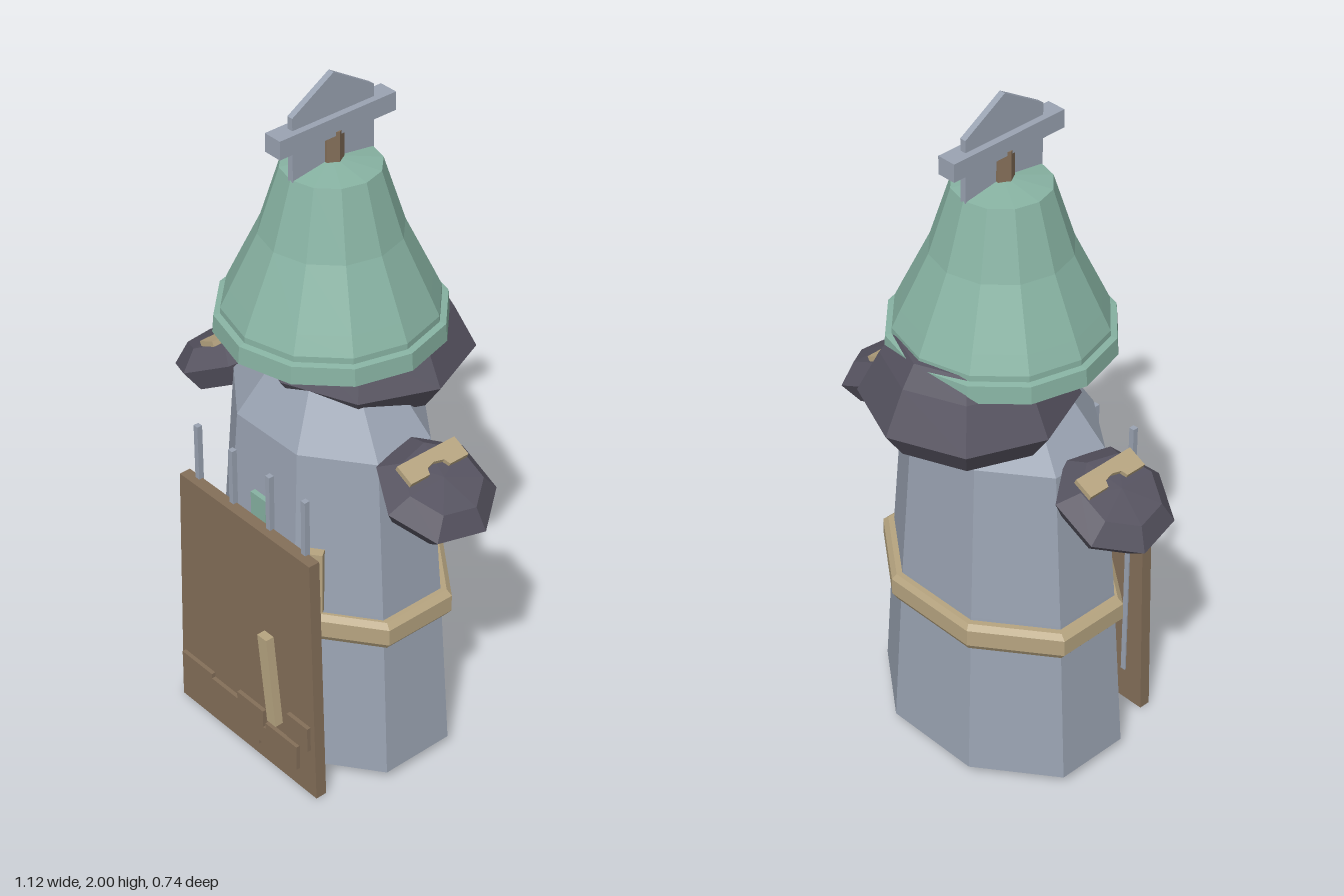
import * as THREE from 'three';

const mat = (name, color) => {
  const m = new THREE.MeshStandardMaterial({ color, flatShading: true });
  m.name = name;
  return m;
};

export function createModel() {
  const root = new THREE.Group();
  root.name = 'gateFigure';
  const stone = mat('blue grey stone', 0x9aa3b2);
  const dark = mat('dark slate', 0x565360);
  const green = mat('pale green', 0x87b2a2);
  const wood = mat('brown wood', 0x846f59);
  const tan = mat('tan', 0xb6a480);

  const add = (name, geo, material, x = 0, y = 0, z = 0) => {
    const m = new THREE.Mesh(geo, material);
    m.name = name;
    m.position.set(x, y, z);
    root.add(m);
    return m;
  };
  // faceted solid of revolution, profile from bottom to top
  const turned = (pts, sides, phi = 0) =>
    new THREE.LatheGeometry(pts.map(p => new THREE.Vector2(...p)), sides, phi);
  const box = (w, h, d) => new THREE.BoxGeometry(w, h, d);
  // flat outline extruded towards +z
  const slab = (pts, depth) => new THREE.ExtrudeGeometry(
    new THREE.Shape(pts.map(p => new THREE.Vector2(...p))), { depth, bevelEnabled: false });

  // oval octagonal body and the belt around it
  const oct = pts => turned(pts, 8, Math.PI / 8).scale(1, 1, 0.75);
  add('body', oct([[0, 0.03], [0.39, 0.03], [0.354, 0.55], [0.314, 1.02], [0.2, 1.16], [0, 1.17]]), stone, 0, 0, 0.04);
  add('belt', oct([[0.34, 0.455], [0.37, 0.455], [0.387, 0.475], [0.387, 0.525], [0.37, 0.54], [0.33, 0.54]]),
    tan, 0, 0, 0.035);

  // rounded collar under the hat
  add('collar', turned([[0, 1.08], [0.235, 1.08], [0.29, 1.16], [0.23, 1.28], [0.19, 1.34], [0, 1.35]], 8),
    dark, 0, 0, -0.08);

  // bell shaped hat and brim
  add('hat', turned([[0, 1.3], [0.29, 1.3], [0.288, 1.35], [0.265, 1.4], [0.19, 1.56], [0.132, 1.745], [0, 1.765]], 12),
    green, 0, 0, 0.035);
  add('hatBrim', turned([[0, 1.29], [0.29, 1.28], [0.31, 1.28], [0.306, 1.33], [0.28, 1.335]], 12), green, 0, 0, 0.035);

  // blade with a crossbar standing on the hat
  add('bladePost', new THREE.CylinderGeometry(0.033, 0.033, 0.12, 6).rotateY(Math.PI / 6), wood, 0, 1.785, 0.035);
  add('blade', slab([[-0.132, 1.74], [0.132, 1.74], [0.132, 1.92], [0, 2], [-0.132, 1.92]], 0.018)
    .translate(0, 0, -0.009).rotateY(Math.PI / 2), stone, 0, 0, 0.035);
  add('crossbar', box(0.056, 0.052, 0.375), stone, 0, 1.86, 0.035);

  // tilted shoulder pads, each with a notched plate
  for (const s of [1, -1]) {
    const pad = new THREE.Group();
    pad.name = s > 0 ? 'leftShoulder' : 'rightShoulder';
    pad.position.set(s * 0.41, 0.965, 0.04);
    pad.rotation.z = -s * 0.44;
    const shell = add('shoulderPad', turned(
      [[0, -0.062], [0.128, -0.056], [0.165, 0.005], [0.112, 0.056], [0, 0.064]], 7), dark);
    const outline = [[-0.08, -0.098], [-0.02, -0.098], [-0.02, -0.035], [-0.038, -0.028],
      [-0.045, 0], [-0.038, 0.028], [-0.02, 0.035], [-0.02, 0.098], [-0.08, 0.098]].map(([x, y]) => [s * x, y]);
    const plate = add('shoulderPlate', slab(outline, 0.015).rotateX(-Math.PI / 2), tan, 0, 0.058, 0);
    pad.add(shell, plate);
    root.add(pad);
  }

  // leaning gate board with rough planks
  add('board', slab([[-0.288, 0], [0.288, 0], [0.265, 0.785], [-0.265, 0.785]], 0.034), wood, 0, 0, 0.308);
  add('lowerPlanks', slab([[-0.23, 0.065], [-0.14, 0.065], [-0.14, 0.05], [0.06, 0.05], [0.06, 0.065], [0.22, 0.065],
    [0.22, 0.145], [0.09, 0.145], [0.09, 0.125], [0.08, 0.125], [0.08, 0.18], [-0.03, 0.18], [-0.03, 0.155],
    [-0.14, 0.155], [-0.14, 0.17], [-0.27, 0.17], [-0.27, 0.105], [-0.23, 0.105]], 0.012), wood, 0, 0, 0.342);
  add('cornerPlank', box(0.085, 0.08, 0.012), wood, 0.223, 0.2, 0.348);
  add('boardStrip', slab([[0.115, 0.18], [0.15, 0.18], [0.117, 0.46], [0.08, 0.46]], 0.026), tan, 0, 0, 0.342);

  // bars behind the board
  for (const x of [-0.218, -0.075, 0.075, 0.216])
    add('bar', box(0.016, 0.85, 0.016), stone, x, 0.53, 0.312);

  // chest details
  add('chestGem', box(0.06, 0.075, 0.015), green, 0, 0.797, 0.283);
  add('chestPatch', box(0.05, 0.19, 0.03), tan, 0.18, 0.645, 0.252).rotation.y = 0.64;
  return root;
}
